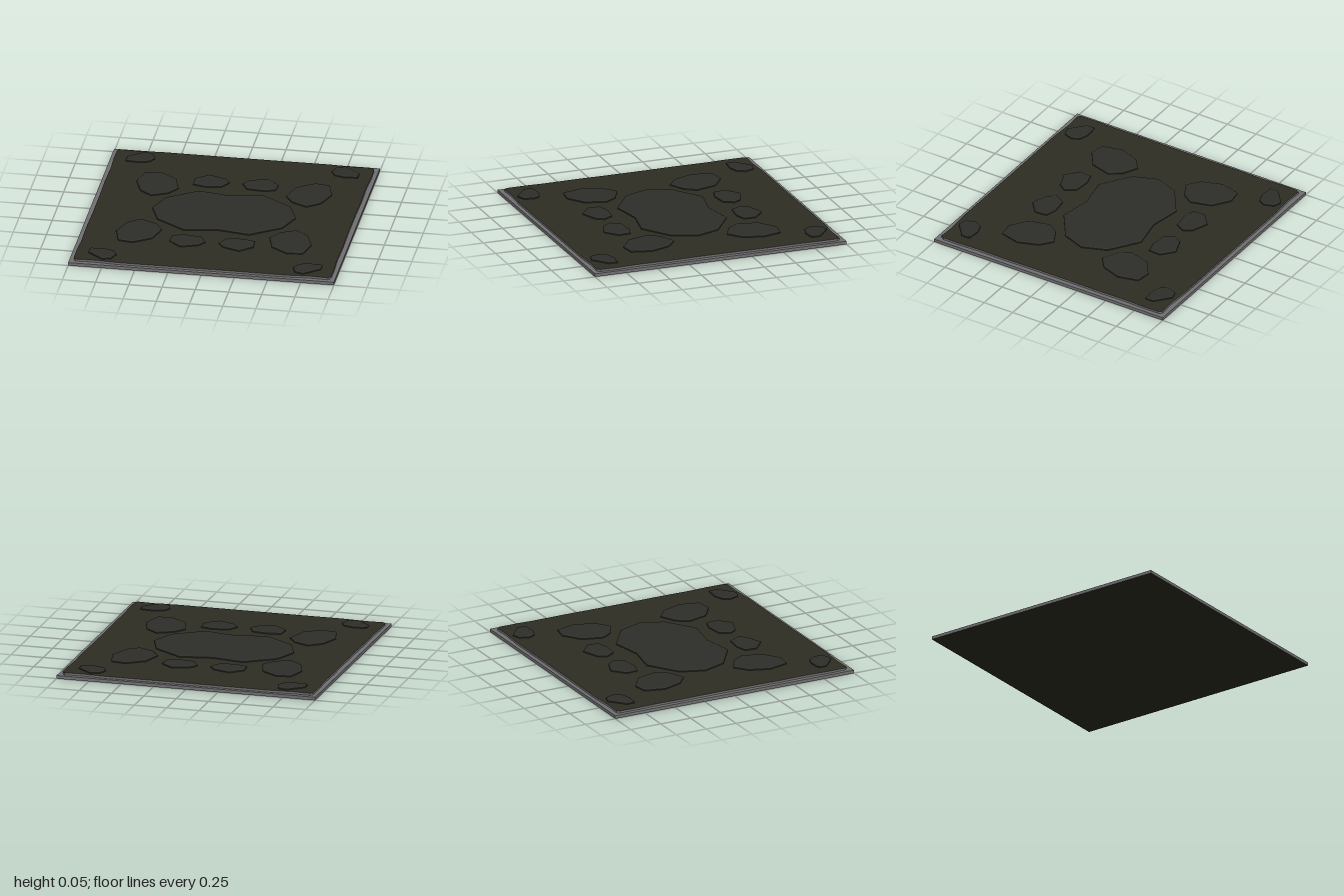
import * as THREE from 'three';

const mat = (name, color) => Object.assign(new THREE.MeshStandardMaterial({ color }), { name });

export function createModel() {
  const group = new THREE.Group();
  const grey = mat('edge grey', 0x707072);
  const olive = mat('dark olive', 0x2e2d23);
  const slate = mat('dark slate', 0x2d2d29);

  const add = (name, geometry, material, y) => {
    const mesh = new THREE.Mesh(geometry, material);
    mesh.name = name;
    mesh.position.y = y;
    group.add(mesh);
  };

  // Extrudes an outline given as [x, z] pairs upwards
  const extrude = (points, options) => {
    const shape = new THREE.Shape(points.map(([x, z]) => new THREE.Vector2(x, -z)));
    return new THREE.ExtrudeGeometry(shape, options).rotateX(-Math.PI / 2);
  };

  // Repeats a quarter outline around all four quadrants
  const fourfold = (quarter) => {
    const back = [...quarter].reverse();
    return [
      ...quarter,
      ...back.map(([x, z]) => [-x, z]),
      ...quarter.map(([x, z]) => [-x, -z]),
      ...back.map(([x, z]) => [x, -z]),
    ];
  };

  // Square base with a dark underside
  add('base', new THREE.BoxGeometry(2, 0.024, 2), [grey, grey, grey, olive, grey, grey], 0.012);

  // Upper slab with slightly uneven edges
  const slabOutline = fourfold([
    [0.963, 0.15], [0.967, 0.4], [0.963, 0.65], [0.97, 0.8], [0.968, 0.94], [0.95, 0.965],
    [0.82, 0.959], [0.63, 0.971], [0.2, 0.969],
  ]);
  add('slab', extrude(slabOutline, { depth: 0.016, bevelEnabled: false }), [olive, grey], 0.024);

  // Raised stones with bevelled rims, sunk a little into the slab
  const bevel = {
    depth: 0.013, bevelThickness: 0.007, bevelSize: 0.012, bevelOffset: -0.012, bevelSegments: 1,
  };
  const addStone = (name, points) => add(name, extrude(points, bevel), slate, 0.035);

  addStone('centreStone', [
    [0, 0.295], [0.245, 0.34], [0.47, 0.185], [0.54, 0], [0.47, -0.185], [0.245, -0.34],
    [0, -0.295], [-0.245, -0.34], [-0.47, -0.185], [-0.54, 0], [-0.47, 0.185], [-0.245, 0.34],
  ]);

  const stones = {
    largeStone: [
      [0.695, 0.595], [0.58, 0.612], [0.45, 0.52], [0.405, 0.36],
      [0.465, 0.27], [0.585, 0.21], [0.68, 0.285], [0.735, 0.44],
    ],
    smallStone: [
      [0.22, 0.628], [0.09, 0.58], [0.05, 0.52], [0.095, 0.44],
      [0.22, 0.425], [0.31, 0.45], [0.317, 0.545],
    ],
    cornerStone: [
      [0.755, 0.937], [0.69, 0.915], [0.665, 0.84], [0.695, 0.785],
      [0.77, 0.76], [0.875, 0.77], [0.875, 0.838],
    ],
  };
  for (const [name, points] of Object.entries(stones))
    for (const sx of [1, -1])
      for (const sz of [1, -1])
        addStone(`${name}${sz > 0 ? 'Front' : 'Back'}${sx > 0 ? 'Left' : 'Right'}`,
          points.map(([x, z]) => [x * sx, z * sz]));

  return group;
}
